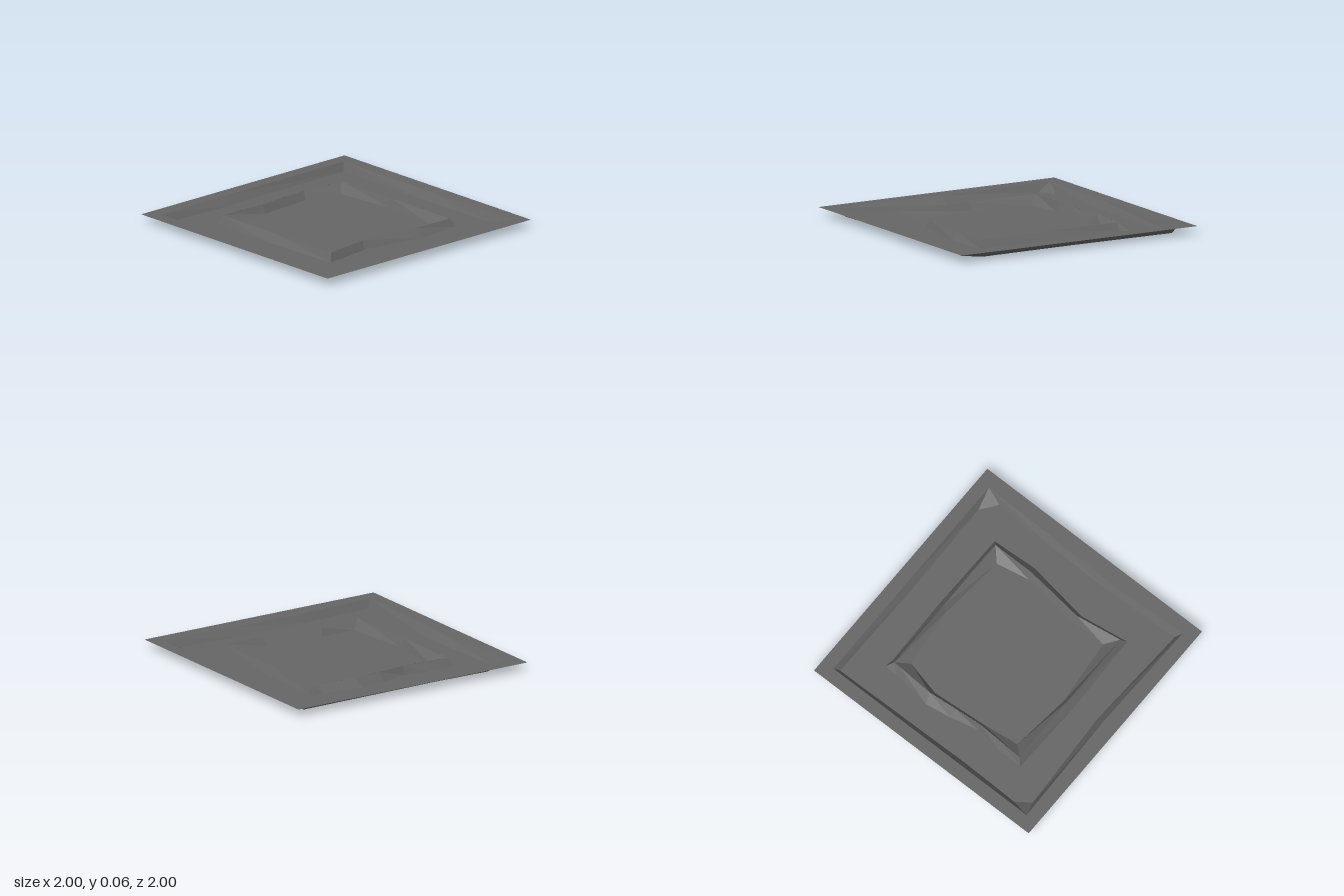
import * as THREE from 'three';

// Closed outlines as [x, z], all running back-left, back-right, front-right, front-left
const rimEdge = [[-0.9, -0.9], [-0.03, -0.9], [0.895, -0.9], [0.895, -0.9], [0.885, -0.3], [0.873, 0.28],
  [0.9, 0.9], [0.02, 0.88], [-0.9, 0.9], [-0.9, 0.9], [-0.9, 0.28]];
const moatOuter = [[-0.865, -0.865], [-0.03, -0.855], [0.73, -0.865], [0.855, -0.77], [0.84, -0.3], [0.835, 0.28],
  [0.86, 0.86], [0.02, 0.82], [-0.78, 0.86], [-0.86, 0.75], [-0.85, 0.28]];
const moatInner = [[-0.64, -0.635], [-0.57, -0.62], [-0.03, -0.63], [0.615, -0.62], [0.635, -0.27], [0.56, 0.23],
  [0.615, 0.615], [-0.03, 0.632], [-0.62, 0.615], [-0.62, 0.4], [-0.592, 0.2], [-0.645, -0.02], [-0.675, -0.22], [-0.63, -0.54]];
const crestOuter = [[-0.585, -0.585], [-0.57, -0.585], [-0.03, -0.585], [0.58, -0.585], [0.58, -0.25], [0.525, 0.22],
  [0.58, 0.58], [-0.03, 0.58], [-0.585, 0.58], [-0.575, 0.4], [-0.567, 0.2], [-0.587, -0.02], [-0.605, -0.24], [-0.587, -0.54]];
const crest = [[-0.585, -0.585], [-0.03, -0.585], [0.58, -0.585], [0.58, -0.25], [0.525, 0.22],
  [0.58, 0.58], [-0.03, 0.58], [-0.585, 0.58], [-0.567, 0.2], [-0.605, -0.24]];
const floorEdge = [[-0.5, -0.5], [-0.03, -0.55], [0.49, -0.5], [0.54, -0.24], [0.49, 0.2],
  [0.49, 0.49], [-0.03, 0.543], [-0.5, 0.49], [-0.535, 0.2], [-0.567, -0.22]];
const tileEdge = [[-1, -1], [1, -1], [1, 1], [-1, 1]];
const HIGH = 0.06;

export function createModel() {
  const group = new THREE.Group();
  const stone = new THREE.MeshStandardMaterial({ color: 0x666666, side: THREE.DoubleSide });
  stone.name = 'darkGrey';

  const add = (name, geometry) => {
    const mesh = new THREE.Mesh(geometry, stone);
    mesh.name = name;
    group.add(mesh);
  };

  // Level sheet between an outline and an optional hole
  const toPoints = (loop) => loop
    .filter((p, i) => i === 0 || p[0] !== loop[i - 1][0] || p[1] !== loop[i - 1][1])
    .map(([x, z]) => new THREE.Vector2(x, -z));
  const sheet = (name, outline, hole, y) => {
    const shape = new THREE.Shape(toPoints(outline));
    if (hole) shape.holes.push(new THREE.Path(toPoints(hole)));
    add(name, new THREE.ShapeGeometry(shape).rotateX(-Math.PI / 2).translate(0, y, 0));
  };

  // Faceted bank joining two outlines at different heights
  const bank = (name, outer, outerY, inner, innerY) => {
    const positions = [];
    const tri = (a, b, c) => {
      const area = b.clone().sub(a).cross(c.clone().sub(a)).length();
      if (area > 1e-6) [a, b, c].forEach((p) => positions.push(p.x, p.y, p.z));
    };
    const at = (loop, i, y) => {
      const [x, z] = loop[i % loop.length];
      return new THREE.Vector3(x, y, z);
    };
    for (let i = 0; i < outer.length; i++) {
      const a = at(outer, i, outerY), b = at(outer, i + 1, outerY);
      const c = at(inner, i + 1, innerY), d = at(inner, i, innerY);
      tri(a, d, c);
      tri(a, c, b);
    }
    const geometry = new THREE.BufferGeometry();
    geometry.setAttribute('position', new THREE.Float32BufferAttribute(positions, 3));
    geometry.computeVertexNormals();
    add(name, geometry);
  };

  sheet('outerRim', tileEdge, rimEdge, HIGH);
  bank('rimBank', rimEdge, HIGH, moatOuter, 0);
  sheet('trenchFloor', moatOuter, moatInner, 0);
  bank('ridgeOuterBank', moatInner, 0, crestOuter, HIGH);
  bank('ridgeInnerBank', crest, HIGH, floorEdge, 0);
  sheet('centreFloor', floorEdge, null, 0);
  return group;
}
